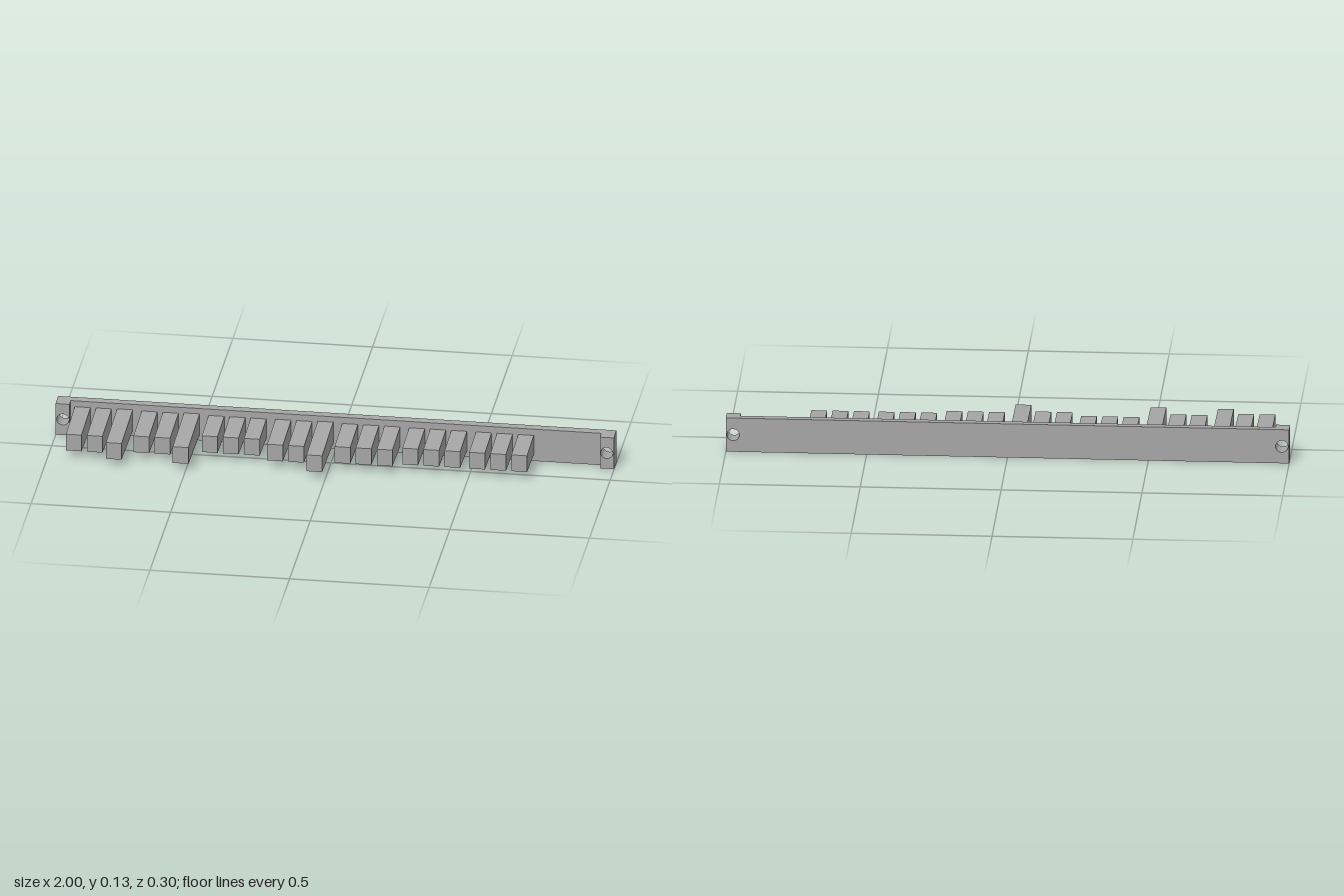
import * as THREE from 'three';
import { toCreasedNormals } from 'three/addons/utils/BufferGeometryUtils.js';

const MID_Y = 0.063;
const BACK = -0.15;
const BASE = -0.12; // front of the bar, where the teeth begin

// Bar running along z whose height changes evenly from back to front
function taperedBar(x0, x1, z0, z1, halfBack, halfFront, holeX) {
  const shape = new THREE.Shape();
  shape.moveTo(x0, -1).lineTo(x1, -1).lineTo(x1, 1).lineTo(x0, 1).closePath();
  if (holeX !== undefined) {
    // ellipse in unit height becomes a round hole after scaling
    const hole = new THREE.Path();
    hole.absellipse(holeX, 0, 0.022, 0.022 / halfBack, 0, Math.PI * 2, true);
    shape.holes.push(hole);
  }
  const geo = new THREE.ExtrudeGeometry(shape, { depth: z1 - z0, bevelEnabled: false, curveSegments: 24 });
  const p = geo.attributes.position;
  for (let i = 0; i < p.count; i++) {
    const t = p.getZ(i) / (z1 - z0);
    p.setY(i, MID_Y + p.getY(i) * THREE.MathUtils.lerp(halfBack, halfFront, t));
    p.setZ(i, p.getZ(i) + z0);
  }
  return toCreasedNormals(geo, 0.5);
}

export function createModel() {
  const model = new THREE.Group();
  const grey = new THREE.MeshStandardMaterial({ color: 0xa6a6a6 });
  grey.name = 'grey';
  const add = (name, geo) => {
    const mesh = new THREE.Mesh(geo, grey);
    mesh.name = name;
    model.add(mesh);
  };

  // Long back bar
  add('backBar', taperedBar(-0.95, 0.95, BACK, BASE, 0.063, 0.0618));

  // Thicker ends with screw holes
  add('leftMount', taperedBar(0.95, 1, BACK, -0.09, 0.063, 0.0605, 0.974));
  add('rightMount', taperedBar(-1, -0.95, BACK, -0.09, 0.063, 0.0605, -0.974));

  // Seven groups of three teeth, given by the z of their tips
  const tips = [
    [0.10, 0.10, 0.15],
    [0.08, 0.08, 0.15],
    [0.043, 0.043, 0.043],
    [0.08, 0.08, 0.15],
    [0.065, 0.065, 0.065],
    [0.043, 0.043, 0.043],
    [0.043, 0.043, 0.043],
  ];
  tips.forEach((group, g) => group.forEach((tip, i) => {
    const x = -0.907 + g * 0.2394 + i * 0.0755;
    const half = 0.0315;
    add(`tooth${g * 3 + i + 1}`,
      taperedBar(x - 0.028, x + 0.028, BASE, tip, half + 0.035 * (tip - BASE), half));
  }));

  return model;
}
